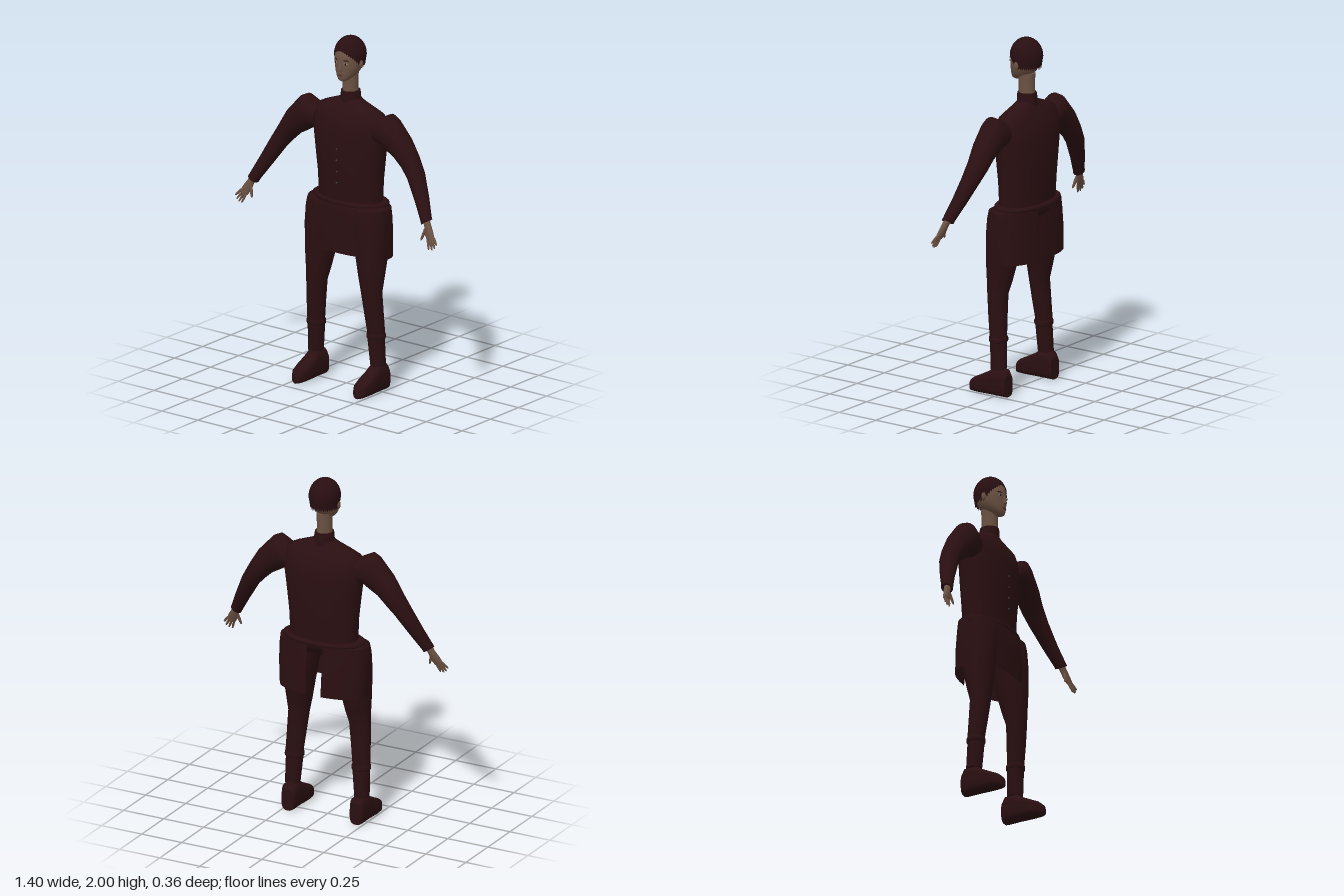
import * as THREE from 'three';

const V = (x, y, z) => new THREE.Vector3(x, y, z);
const material = (name, color, side = THREE.FrontSide) => {
  const m = new THREE.MeshStandardMaterial({ color, side });
  m.name = name;
  return m;
};

// Point on a superellipse, angle 0 along v and a quarter turn along u
function ringPoint(r, a) {
  const s = Math.sin(a), c = Math.cos(a), k = 2 / (r.p || 2);
  return r.c.clone()
    .addScaledVector(r.u, Math.sign(s) * Math.abs(s) ** k)
    .addScaledVector(r.v, Math.sign(c) * Math.abs(c) ** k);
}

// Skin over rings; closed solids get flat caps, open ones span angles a0..a1
function loft(rings, n = 32, arc = null) {
  const pos = [], idx = [], w = arc ? n + 1 : n;
  const angle = j => arc ? arc[0] + (arc[1] - arc[0]) * j / n : j / n * Math.PI * 2;
  const put = p => pos.push(p.x, p.y, p.z);
  rings.forEach(r => { for (let j = 0; j < w; j++) put(ringPoint(r, angle(j))); });
  for (let i = 0; i < rings.length - 1; i++) {
    for (let j = 0; j < n; j++) {
      const k = (j + 1) % w, a = i * w + j, b = i * w + k;
      idx.push(a, b, a + w, b, b + w, a + w);
    }
  }
  if (!arc) {
    [[rings[0], 1], [rings[rings.length - 1], 0]].forEach(([r, low]) => {
      const o = pos.length / 3;
      put(r.c);
      for (let j = 0; j < n; j++) put(ringPoint(r, angle(j)));
      for (let j = 0; j < n; j++) {
        const a = o + 1 + j, b = o + 1 + (j + 1) % n;
        low ? idx.push(o, b, a) : idx.push(o, a, b);
      }
    });
  }
  const g = new THREE.BufferGeometry();
  g.setAttribute('position', new THREE.Float32BufferAttribute(pos, 3));
  g.setIndex(idx);
  g.computeVertexNormals();
  return g;
}

// Level ring from [y, centre x, back z, front z, half width, power]
const level = ([y, x, z0, z1, rx, p]) =>
  ({ c: V(x, y, (z0 + z1) / 2), u: V(rx, 0, 0), v: V(0, 0, (z1 - z0) / 2), p });
// Sloping ring from its outer and inner point: [ox, oy, ix, iy, z, depth]
const sloped = ([ox, oy, ix, iy, z, d]) =>
  ({ c: V((ox + ix) / 2, (oy + iy) / 2, z), u: V((ox - ix) / 2, (oy - iy) / 2, 0), v: V(0, 0, -d) });

// Tapered finger between two points
function finger(a, b, r) {
  const w = b.clone().sub(a).normalize();
  const u = w.clone().cross(V(0, 0, 1)).normalize(), v = u.clone().cross(w);
  return loft([[0, 1], [0.5, 0.95], [0.9, 0.65], [1, 0.2]].map(([t, s]) =>
    ({ c: a.clone().lerp(b, t), u: u.clone().multiplyScalar(r * s), v: v.clone().multiplyScalar(r * s) })), 8);
}

function mirrored(g) {
  const m = g.clone().scale(-1, 1, 1), i = m.index.array;
  for (let k = 0; k < i.length; k += 3) [i[k], i[k + 1]] = [i[k + 1], i[k]];
  m.computeVertexNormals();
  return m;
}

export function createModel() {
  const model = new THREE.Group();
  model.name = 'figure';
  const coat = material('dark maroon cloth', 0x2a0f11, THREE.DoubleSide);
  const hair = material('dark maroon hair', 0x280e11, THREE.DoubleSide);
  const skin = material('brown skin', 0x6b5142);
  const lip = material('lips', 0x56352f);
  const dark = material('dark features', 0x1c0d0c);
  const white = material('eye white', 0x8a7f78);
  const metal = material('button grey', 0x3a3a42);

  const add = (name, g, m) => {
    const mesh = new THREE.Mesh(g, m);
    mesh.name = name;
    model.add(mesh);
    return mesh;
  };
  const pair = (name, g, m) => {
    add(name + 'Left', g, m);
    add(name + 'Right', mirrored(g), m);
  };
  const blob = (x, y, z, sx, sy, sz, turn = 0) =>
    new THREE.SphereGeometry(1, 14, 10).scale(sx, sy, sz).rotateY(turn).translate(x, y, z);

  // Jacket body, collar and belt
  add('torso', loft([
    [1.05, 0, -0.15, 0.072, 0.2, 2.2], [1.2, 0, -0.16, 0.08, 0.205, 2.2],
    [1.32, 0, -0.166, 0.088, 0.218, 2.2], [1.45, 0, -0.167, 0.087, 0.236, 2.2],
    [1.52, 0, -0.15, 0.072, 0.238, 2.2], [1.575, 0, -0.125, 0.052, 0.225, 2.2],
    [1.6, 0, -0.108, 0.035, 0.175, 2.1], [1.625, 0, -0.095, 0.02, 0.11, 2], [1.645, 0, -0.09, 0.012, 0.055, 2],
  ].map(level), 48), coat);
  add('collar', loft([
    [1.62, 0, -0.098, 0.02, 0.06], [1.64, 0, -0.096, 0.018, 0.058],
    [1.675, 0, -0.093, 0.017, 0.055], [1.69, 0, -0.09, 0.015, 0.052],
  ].map(level)), coat);
  add('belt', loft([
    [1.052, 0, -0.165, 0.085, 0.235], [1.056, 0, -0.175, 0.094, 0.245], [1.07, 0, -0.175, 0.094, 0.245],
    [1.077, 0, -0.165, 0.085, 0.235],
  ].map(level), 48), coat);
  for (let i = 0; i < 4; i++) add('button' + (i + 1), blob(0, 1.18 + i * 0.065, 0.088, 0.005, 0.005, 0.006), metal);

  // Hips, front panel and split tails
  add('hips', loft([
    [0.98, 0, -0.1, 0.07, 0.22], [1.03, 0, -0.148, 0.09, 0.265, 2.4],
    [1.05, 0, -0.148, 0.09, 0.264, 2.4], [1.06, 0, -0.14, 0.08, 0.245, 2.4],
  ].map(level), 48), coat);
  const skirt = [
    [0.76, 0, -0.172, 0.097, 0.262, 2.4], [0.9, 0, -0.163, 0.1, 0.271, 2.4],
    [1, 0, -0.153, 0.097, 0.27, 2.4], [1.05, 0, -0.148, 0.09, 0.264, 2.4],
  ];
  pair('tail', loft(skirt.map(level), 24, [1.45, Math.PI - 0.13]), coat);
  const front = skirt.map(r => [...r]);
  front[0][0] = 0.78;
  add('frontPanel', loft(front.map(level), 20, [-0.5, 0.5]), coat);

  // Trousers, shin bands and boots
  pair('leg', loft([
    [0.15, 0.216, -0.05, 0.04, 0.042], [0.3, 0.208, -0.044, 0.048, 0.049],
    [0.345, 0.208, -0.043, 0.05, 0.051], [0.45, 0.2, -0.04, 0.064, 0.055],
    [0.57, 0.19, -0.037, 0.077, 0.06], [0.65, 0.183, -0.06, 0.083, 0.072],
    [0.75, 0.177, -0.085, 0.09, 0.086], [0.9, 0.164, -0.11, 0.095, 0.106],
    [1, 0.15, -0.12, 0.092, 0.118], [1.045, 0.145, -0.115, 0.085, 0.115],
  ].map(level), 28), coat);
  pair('shinBand', loft([
    [0.305, 0.208, -0.046, 0.05, 0.051], [0.311, 0.208, -0.05, 0.054, 0.055],
    [0.327, 0.208, -0.05, 0.055, 0.055], [0.335, 0.208, -0.046, 0.052, 0.051],
  ].map(level), 28), coat);
  pair('boot', loft([
    [-0.07, 0.038, 0.125], [-0.05, 0.047, 0.155], [0.02, 0.046, 0.155], [0.06, 0.048, 0.128],
    [0.11, 0.049, 0.102], [0.155, 0.042, 0.08], [0.177, 0.028, 0.06], [0.185, 0.012, 0.038],
  ].map(([z, w, h]) => ({ c: V(0.213, h / 2, z), u: V(-w, 0, 0), v: V(0, h / 2, 0), p: 3 })), 28), coat);

  // Puffed sleeves
  pair('sleeve', loft([
    [0.2, 1.565, 0.2, 1.43, -0.025, 0.065], [0.245, 1.588, 0.235, 1.425, -0.022, 0.076],
    [0.29, 1.61, 0.25, 1.42, -0.02, 0.078], [0.325, 1.593, 0.285, 1.398, -0.02, 0.075],
    [0.415, 1.495, 0.335, 1.37, -0.02, 0.067], [0.47, 1.405, 0.387, 1.322, -0.02, 0.06],
    [0.522, 1.315, 0.43, 1.275, -0.01, 0.054], [0.58, 1.195, 0.507, 1.16, 0.022, 0.042],
    [0.622, 1.105, 0.566, 1.07, 0.052, 0.034], [0.63, 1.09, 0.574, 1.055, 0.056, 0.034],
  ].map(sloped), 28), coat);

  // Hands
  pair('palm', loft([
    [0.617, 1.092, 0.583, 1.07, 0.058, 0.02], [0.632, 1.066, 0.596, 1.046, 0.063, 0.018],
    [0.657, 1.03, 0.605, 1.008, 0.073, 0.016], [0.674, 0.997, 0.625, 0.977, 0.082, 0.011],
  ].map(sloped), 16), skin);
  [[0.668, 1.0, 0.7, 0.965], [0.657, 0.993, 0.689, 0.945], [0.645, 0.988, 0.672, 0.934], [0.632, 0.984, 0.651, 0.932]]
    .forEach(([x, y, tx, ty], i) =>
      pair('finger' + (i + 1), finger(V(x, y, 0.079 + i * 0.002), V(tx, ty, 0.095 + i * 0.002), 0.0075), skin));
  pair('thumb', finger(V(0.607, 1.035, 0.075), V(0.588, 0.972, 0.09), 0.009), skin);

  // Neck and head
  add('neck', loft([
    [1.66, 0, -0.085, 0.012, 0.045], [1.72, 0, -0.082, 0.01, 0.041], [1.8, 0, -0.085, 0.012, 0.043],
  ].map(level)), skin);
  add('head', loft([
    [1.757, 0, 0.01, 0.046, 0.016], [1.765, 0, -0.01, 0.055, 0.03], [1.785, 0, -0.05, 0.058, 0.05],
    [1.81, 0, -0.085, 0.058, 0.066], [1.84, 0, -0.105, 0.059, 0.076], [1.88, 0, -0.115, 0.059, 0.08],
    [1.93, 0, -0.11, 0.05, 0.075], [1.97, 0, -0.08, 0.01, 0.045],
  ].map(level), 36), skin);

  // Hair cap with a swept hairline that drops from the brow to the nape
  const cap = new THREE.SphereGeometry(1, 48, 16);
  const q = cap.attributes.position, uv = cap.attributes.uv;
  for (let i = 0; i < q.count; i++) {
    const a = uv.getX(i) * Math.PI * 2, t = 1 - uv.getY(i);
    const side = Math.min(1, Math.min(a, Math.PI * 2 - a) / 1.45);
    const bottom = 1.928 - 0.1 * side ** 1.7;
    const y = 2 - (2 - bottom) * (1 - Math.cos(t * Math.PI / 2));
    const r = y > 1.895 ? Math.sqrt(Math.max(0, 1 - ((y - 1.895) / 0.105) ** 2)) : 1 - 1.8 * (1.895 - y);
    q.setXYZ(i, Math.sin(a) * 0.088 * r, y, -0.034 + Math.cos(a) * 0.094 * r);
  }
  cap.computeVertexNormals();
  add('hair', cap, hair);

  // Facial features
  pair('ear', blob(0.083, 1.855, -0.025, 0.009, 0.023, 0.014), skin);
  pair('eye', blob(0.034, 1.863, 0.051, 0.013, 0.005, 0.004, 0.4), white);
  pair('iris', blob(0.034, 1.863, 0.0535, 0.005, 0.005, 0.003, 0.4), dark);
  pair('brow', blob(0.035, 1.882, 0.049, 0.018, 0.003, 0.004, 0.42), dark);
  add('nose', loft([
    [1.818, 0, 0.045, 0.066, 0.012], [1.825, 0, 0.045, 0.074, 0.014], [1.84, 0, 0.045, 0.068, 0.009],
    [1.875, 0, 0.045, 0.06, 0.006],
  ].map(level), 14), skin);
  add('mouth', blob(0, 1.795, 0.057, 0.02, 0.006, 0.005), lip);
  return model;
}
